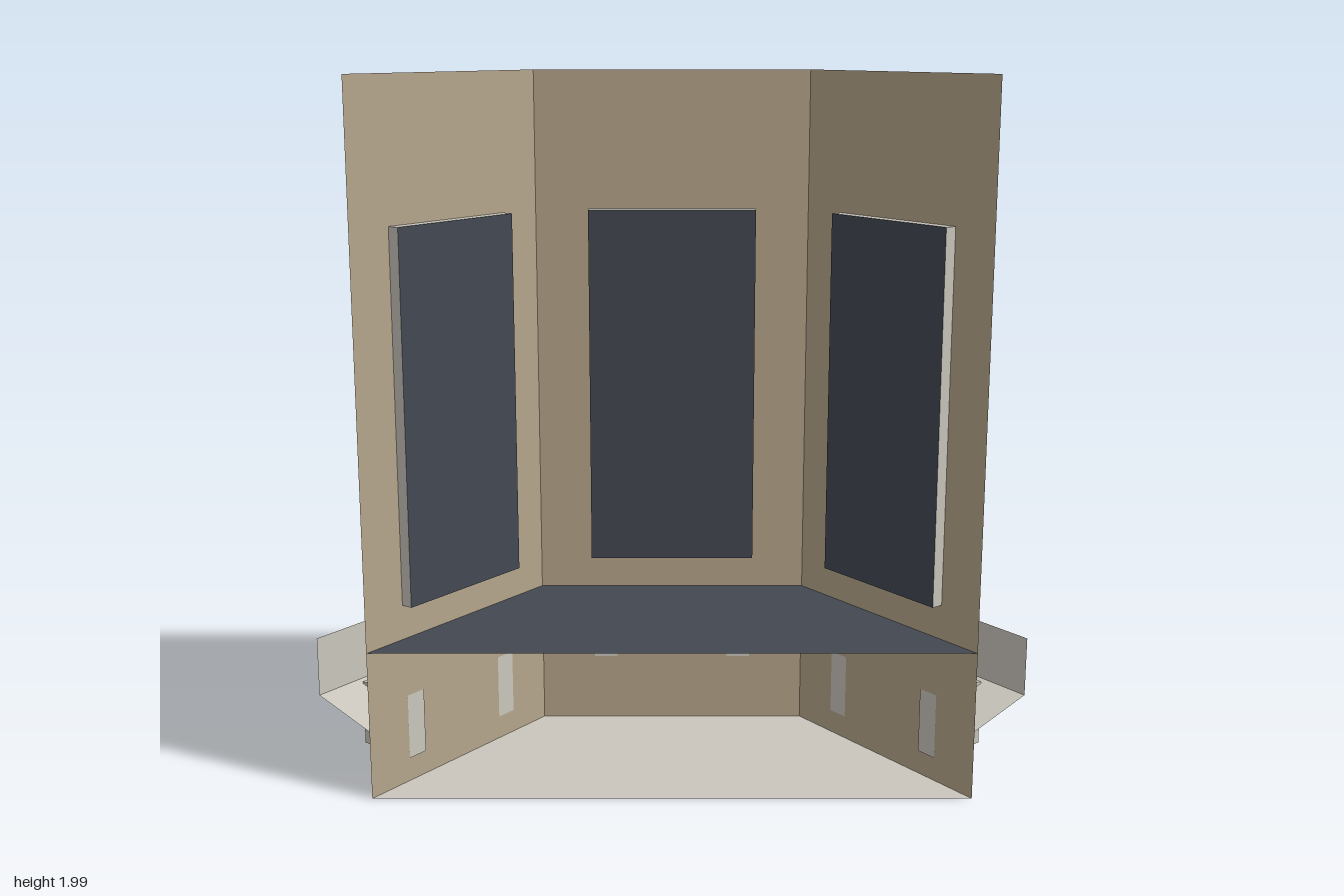
import * as THREE from 'three';

const flat = (name, color) =>
  new THREE.MeshStandardMaterial({ name, color, side: THREE.DoubleSide });

export function createModel() {
  const wallMat = flat('tan wall', 0xb5a58b);
  const stone = flat('pale stone', 0xcac6bd);
  const dark = flat('dark slate', 0x434851);

  const add = (parent, name, geometry, material) => {
    const mesh = new THREE.Mesh(geometry, material);
    mesh.name = name;
    parent.add(mesh);
    return mesh;
  };

  // Flat convex sheet through a few corner points
  const sheet = (...points) => {
    const g = new THREE.BufferGeometry().setFromPoints(points.map(p => new THREE.Vector3(...p)));
    const index = [];
    for (let i = 1; i < points.length - 1; i++) index.push(0, i, i + 1);
    g.setIndex(index);
    g.computeVertexNormals();
    return g;
  };
  // Sheet spanning x = -w..w between two (y, z) lines
  const strip = (w, y0, z0, y1, z1) =>
    sheet([-w, y0, z0], [w, y0, z0], [w, y1, z1], [-w, y1, z1]);
  // Upright rectangle at depth z
  const upright = (x0, x1, y0, y1, z) =>
    sheet([x0, y0, z], [x1, y0, z], [x1, y1, z], [x0, y1, z]);

  const HALF = 0.4, TOP = 1.99;             // wall panel
  const W = 0.245, Y0 = 0.53, Y1 = 1.59;    // window opening
  const IN = -0.035, OUT = 0.012;           // glass depth, trim depth

  // One bay panel: local x along the wall, local z pointing outdoors
  function bay(name, innerY) {
    const g = new THREE.Group();
    g.name = name;

    const outline = new THREE.Shape([[-HALF, 0], [HALF, 0], [HALF, TOP], [-HALF, TOP]]
      .map(p => new THREE.Vector2(...p)));
    outline.holes.push(new THREE.Path([[-W, Y0], [-W, Y1], [W, Y1], [W, Y0]]
      .map(p => new THREE.Vector2(...p))));
    add(g, 'wall', new THREE.ShapeGeometry(outline), wallMat);

    // Window: pane, reveal, jambs, gabled head and sill
    add(g, 'windowPane', upright(-W, W, Y0, Y1, IN), dark);
    add(g, 'revealTop', strip(W, Y1, IN, Y1, OUT), stone);
    add(g, 'revealBottom', strip(W, Y0, IN, Y0, OUT), stone);
    for (const s of [-1, 1]) {
      add(g, 'revealSide', sheet([s * W, Y0, IN], [s * W, Y0, OUT], [s * W, Y1, OUT], [s * W, Y1, IN]), stone);
      add(g, 'jamb', upright(s < 0 ? -0.3 : W, s < 0 ? -W : 0.3, Y0, Y1, OUT), stone);
    }
    add(g, 'windowHead', sheet([-W, Y1, OUT], [W, Y1, OUT], [W, 1.645, OUT],
      [0, 1.775, OUT], [-W, 1.645, OUT]), stone);
    add(g, 'sillTop', strip(0.32, 0.52, 0, 0.52, 0.05), stone);
    add(g, 'sillFront', strip(0.32, 0.48, 0.05, 0.52, 0.05), stone);
    add(g, 'sillUnderside', strip(0.32, 0.48, 0, 0.48, 0.05), stone);

    // Ledge, open on top and at its ends
    add(g, 'ledgeFront', strip(HALF, 0.26, 0.2, 0.43, 0.2), stone);
    add(g, 'ledgeUnderside', strip(HALF, 0.2, 0, 0.26, 0.2), stone);

    // Corbels, with their ends showing on the indoor face
    for (const s of [-1, 1]) {
      const box = new THREE.BoxGeometry(0.07, 0.19, 0.178);
      add(g, 'corbel', box, stone).position.set(s * 0.205, 0.165, 0.09);
      add(g, 'corbelEnd', upright(s * 0.205 - 0.035, s * 0.205 + 0.035, innerY, 0.26, -0.003), stone);
    }
    return g;
  }

  const model = new THREE.Group();
  model.name = 'bayWindow';

  // Panels set along the plan outline
  const plan = [[-0.84, 0.395], [-0.4, -0.195], [0.4, -0.195], [0.84, 0.395]];
  ['rightBay', 'backBay', 'leftBay'].forEach((name, i) => {
    const [ax, az] = plan[i], [bx, bz] = plan[i + 1];
    const dx = bx - ax, dz = bz - az;
    const panel = bay(name, i === 1 ? 0.2 : 0.07);
    panel.position.set((ax + bx) / 2, 0, (az + bz) / 2);
    panel.rotation.y = Math.atan2(dz, -dx);
    panel.scale.x = Math.hypot(dx, dz) / (2 * HALF);
    model.add(panel);
  });

  // Base sheet and the dark shelf over the ledges
  add(model, 'base', sheet(...plan.map(([x, z]) => [x, 0, z])), stone);
  add(model, 'shelf', sheet([-0.84, 0.43, 0.395], [0.84, 0.43, 0.395],
    [0.52, 0.43, -0.36], [-0.52, 0.43, -0.36]), dark);

  return model;
}
